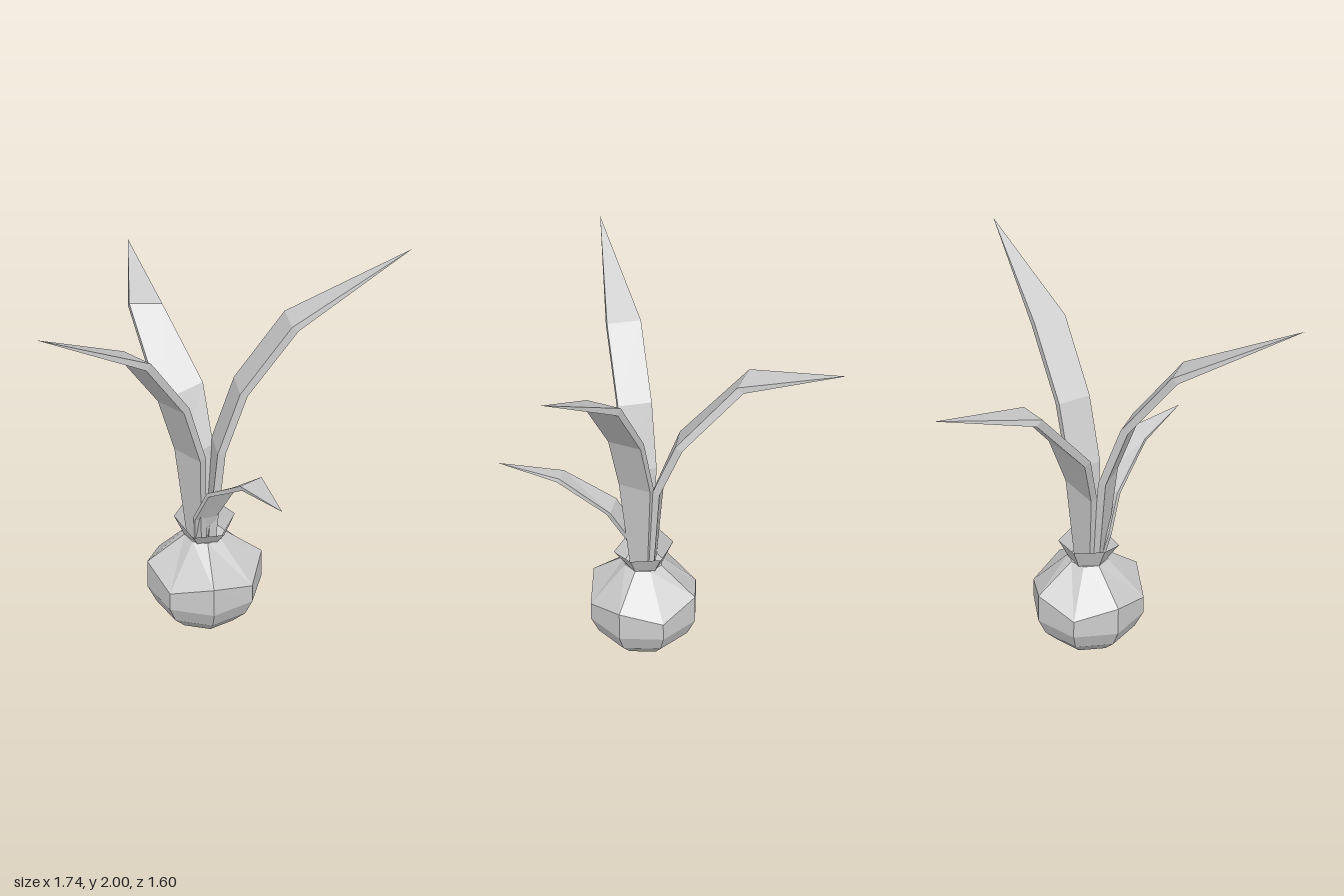
import * as THREE from 'three';

const material = new THREE.MeshStandardMaterial({ color: 0xcccccc, flatShading: true, side: THREE.DoubleSide });
const AXIS = [-0.09, 0.12]; // x, z of the bulb's axis
const V = (x, y, z) => new THREE.Vector3(x, y, z);

function addMesh(group, name, geometry) {
  const mesh = new THREE.Mesh(geometry, material);
  mesh.name = name;
  group.add(mesh);
  return mesh;
}

// Lathe whose vertices are shifted in height by lift(column, row)
function facetedLathe(profile, sides, phi, lift) {
  const geo = new THREE.LatheGeometry(profile.map(([r, y]) => new THREE.Vector2(r, y)), sides, phi);
  const pos = geo.attributes.position;
  for (let i = 0; i < pos.count; i++) {
    const column = Math.floor(i / profile.length) % sides;
    pos.setY(i, pos.getY(i) + lift(column, i % profile.length));
  }
  const flat = geo.toNonIndexed();
  flat.computeVertexNormals();
  return flat;
}

// Thin slab leaf: rings are [left edge, right edge] pairs, closing in a point
function leafGeometry(rings, tip, thickness) {
  const mids = rings.map(([a, b]) => a.clone().add(b).multiplyScalar(0.5));
  const points = [];
  rings.forEach(([a, b], i) => {
    const along = i ? mids[i].clone().sub(mids[i - 1]) : mids[1].clone().sub(mids[0]);
    const n = b.clone().sub(a).cross(along).setLength(thickness / 2);
    points.push(a.clone().add(n), b.clone().add(n), b.clone().sub(n), a.clone().sub(n));
  });
  points.push(tip);
  const index = [];
  const end = points.length - 1;
  const last = (rings.length - 1) * 4;
  for (let s = 0; s < 4; s++) {
    const t = (s + 1) % 4;
    for (let r = 0; r < last; r += 4) {
      index.push(r + s, r + t, r + 4 + t, r + s, r + 4 + t, r + 4 + s);
    }
    index.push(last + s, last + t, end);
  }
  index.push(0, 2, 1, 0, 3, 2);
  const geo = new THREE.BufferGeometry().setFromPoints(points);
  geo.setIndex(index);
  const flat = geo.toNonIndexed();
  flat.computeVertexNormals();
  return flat;
}

// Tall leaf bending outward along the horizontal direction (dx, dz)
function tallLeaf(x, z, dx, dz) {
  const profile = [[0, 0.54, 0.1], [0.04, 1.04, 0.17], [0.145, 1.355, 0.17], [0.38, 1.68, 0.17]];
  const rings = profile.map(([d, y, w]) => [-w / 2, w / 2].map(
    (s) => V(x + dx * d - dz * s, y, z + dz * d + dx * s)));
  return leafGeometry(rings, V(x + dx * 0.93, 2, z + dz * 0.93), 0.038);
}

export function createModel() {
  const group = new THREE.Group();
  group.name = 'sproutingBulb';

  // Bulb, with a zigzag shoulder
  const bulbProfile = [[0, 0.005], [0.175, 0.06], [0.25, 0.14], [0.292, 0.235], [0.29, 0.39], [0.1, 0.535], [0, 0.535]];
  const bulb = addMesh(group, 'bulb', facetedLathe(bulbProfile, 8, 0,
    (column, row) => (row === 4 && column % 2 ? -0.06 : 0)));
  bulb.position.set(AXIS[0], 0, AXIS[1]);

  // Flared papery collar with an uneven rim
  const rim = [0, 0.03, 0.03, 0.045, 0.05, 0];
  const collar = addMesh(group, 'collar', facetedLathe([[0.1, 0.53], [0.152, 0.6]], 6, Math.PI / 6,
    (column, row) => (row ? rim[column] : 0)));
  collar.position.set(AXIS[0], 0, AXIS[1]);

  // Two matching tall leaves
  addMesh(group, 'leftTallLeaf', tallLeaf(-0.06, 0.125, 1, 0));
  addMesh(group, 'rightTallLeaf', tallLeaf(-0.135, 0.153, -0.79, 0.613));

  // Twisted back leaf
  addMesh(group, 'backLeaf', leafGeometry([
    [V(-0.16, 0.54, 0.1), V(-0.06, 0.54, 0.07)],
    [V(-0.2, 0.95, 0.08), V(-0.04, 1.0, 0.03)],
    [V(-0.285, 1.23, -0.01), V(-0.07, 1.28, -0.08)],
    [V(-0.385, 1.6, -0.32), V(-0.225, 1.585, -0.325)],
  ], V(-0.33, 1.725, -0.8), 0.04));

  // Short front leaf
  addMesh(group, 'frontLeaf', leafGeometry([
    [V(-0.15, 0.54, 0.165), V(-0.06, 0.54, 0.14)],
    [V(-0.155, 0.68, 0.205), V(-0.04, 0.68, 0.18)],
    [V(-0.1, 0.865, 0.285), V(0.03, 0.865, 0.255)],
    [V(0.02, 1.04, 0.51), V(0.125, 1.06, 0.48)],
  ], V(0.153, 1.092, 0.8), 0.022));

  return group;
}
